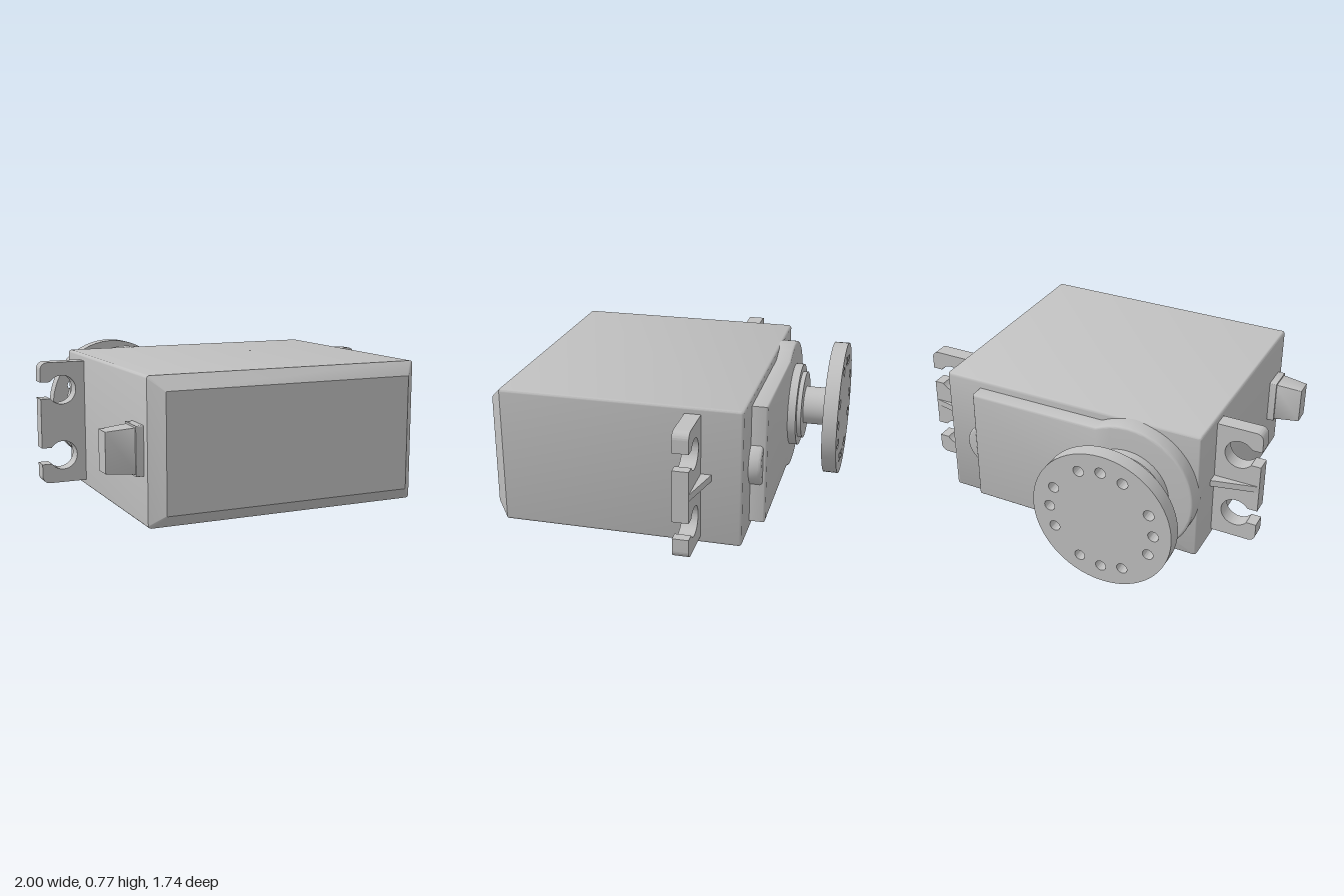
import * as THREE from 'three';
import { toCreasedNormals } from 'three/addons/utils/BufferGeometryUtils.js';

const grey = new THREE.MeshStandardMaterial({ color: 0xc0c0c0 });
grey.name = 'grey plastic';

const MID_Y = 0.3875; // height of the centre line
const SHAFT_X = -0.38; // output shaft axis

function part(name, geometry, parent) {
  const mesh = new THREE.Mesh(toCreasedNormals(geometry, 0.6), grey);
  mesh.name = name;
  parent.add(mesh);
  return mesh;
}

// Rounded-rectangle outline, counter-clockwise seen from +z
function outline(w, h, r, steps = 4) {
  const pts = [];
  [[1, 1], [-1, 1], [-1, -1], [1, -1]].forEach(([sx, sy], k) => {
    for (let i = 0; i <= steps; i++) {
      const a = (k + i / steps) * Math.PI / 2;
      pts.push([sx * (w / 2 - r) + r * Math.cos(a), sy * (h / 2 - r) + r * Math.sin(a)]);
    }
  });
  return pts;
}

// Skin over rounded rectangles [z, width, height, radius] with rising z, closed at both ends
function loft(sections) {
  const pos = [], index = [];
  const n = outline(1, 1, 0.1).length;
  for (const [z, w, h, r] of sections) {
    for (const [x, y] of outline(w, h, r)) pos.push(x, y, z);
  }
  const last = (sections.length - 1) * n;
  for (let s = 0; s < last; s += n) {
    for (let i = 0; i < n; i++) {
      const j = (i + 1) % n;
      index.push(s + i, s + j, s + n + j, s + i, s + n + j, s + n + i);
    }
  }
  for (let i = 1; i < n - 1; i++) {
    index.push(0, i + 1, i, last, last + i, last + i + 1);
  }
  const g = new THREE.BufferGeometry();
  g.setAttribute('position', new THREE.Float32BufferAttribute(pos, 3));
  g.setIndex(index);
  return g;
}

// Plate cut from a shape between two z values, with an optional small edge rounding
function plate(shape, z0, z1, bevel = 0) {
  const g = new THREE.ExtrudeGeometry(shape, {
    depth: z1 - z0 - 2 * bevel, curveSegments: 32,
    bevelEnabled: bevel > 0, bevelThickness: bevel, bevelSize: bevel,
    bevelOffset: -bevel, bevelSegments: 3,
  });
  return g.translate(0, 0, z0 + bevel);
}

// Disc on the shaft axis between two z values
function disc(radius, z0, z1) {
  return new THREE.CylinderGeometry(radius, radius, z1 - z0, 64)
    .rotateX(Math.PI / 2).translate(SHAFT_X, 0, (z0 + z1) / 2);
}

// Mounting ear on the +x side, with two open screw slots and a stiffening rib
function mountingEar() {
  const ear = new THREE.Group();
  const hx = 0.88, hr = 0.08, hy = 0.184, half = 0.046, top = 0.338, c = 0.04;
  const a = Math.asin(half / hr);
  const s = new THREE.Shape();
  s.moveTo(0.73, -top);
  s.lineTo(1 - c, -top);
  s.absarc(1 - c, -top + c, c, -Math.PI / 2, 0, false);
  for (const y of [-hy, hy]) {
    s.lineTo(1, y - half);
    s.absarc(hx, y, hr, -a, a - Math.PI * 2 + 0, true);
    s.lineTo(1, y + half);
  }
  s.lineTo(1, top - c);
  s.absarc(1 - c, top - c, c, 0, Math.PI / 2, false);
  s.lineTo(0.73, top);
  part('mountingEarPlate', plate(s, -0.275, -0.19), ear);

  const rib = new THREE.Shape();
  rib.moveTo(0.74, 0.26);
  rib.lineTo(0.99, 0.26);
  rib.lineTo(0.995, 0.276);
  rib.lineTo(0.74, 0.333);
  part('mountingEarRib', plate(rib, -0.018, 0.018).rotateX(-Math.PI / 2), ear);
  return ear;
}

export function createModel() {
  const model = new THREE.Group();
  model.name = 'servoMotor';
  const body = new THREE.Group();
  body.name = 'servo';
  body.position.y = MID_Y;
  model.add(body);

  // Case: softly rounded at the back, wide chamfer at the front
  part('case', loft([
    [-0.49, 1.476, 0.721, 0.008],
    [-0.486, 1.49, 0.735, 0.012],
    [-0.476, 1.5, 0.745, 0.015],
    [0.795, 1.5, 0.745, 0.015],
    [0.866, 1.36, 0.605, 0.004],
  ]), body);

  // Gear cover: narrow plate that swells into a round boss about the shaft
  const R = 0.372, h = 0.325, a = Math.asin(h / R);
  const cover = new THREE.Shape();
  cover.moveTo(0.54, -h);
  cover.lineTo(0.54, h);
  cover.lineTo(SHAFT_X + R * Math.cos(a), h);
  cover.absarc(SHAFT_X, 0, R, a, Math.PI * 2 - a, false);
  part('gearCover', plate(cover, -0.574, -0.46, 0.012), body);

  // Small round lug at the end of the cover
  const lug = new THREE.Shape();
  lug.absarc(0.48, 0, 0.125, 0, Math.PI * 2, false);
  part('coverLug', plate(lug, -0.555, -0.46, 0.015), body);

  // Output shaft and its stepped collar
  part('collarBase', disc(0.24, -0.62, -0.56), body);
  part('collarStep', disc(0.196, -0.645, -0.61), body);
  part('outputShaft', disc(0.11, -0.8, -0.63), body);

  // Horn disc with four groups of three holes
  const horn = new THREE.Shape();
  horn.absarc(SHAFT_X, 0, 0.384, 0, Math.PI * 2, false);
  for (let k = 0; k < 4; k++) {
    for (const d of [-1, 0, 1]) {
      const t = k * Math.PI / 2 + d * 0.43;
      const hole = new THREE.Path();
      hole.absarc(SHAFT_X + 0.288 * Math.cos(t), 0.288 * Math.sin(t), 0.029, 0, Math.PI * 2, true);
      horn.holes.push(hole);
    }
  }
  part('hornDisc', plate(horn, -0.872, -0.79), body);

  // Mounting ears, the right one turned half round
  for (const side of ['left', 'right']) {
    const ear = mountingEar();
    ear.name = side + 'MountingEar';
    if (side === 'right') ear.rotation.z = Math.PI;
    body.add(ear);
  }

  // Cable strain relief: a collar and a tapering plug on the right side
  const cable = new THREE.Group();
  cable.name = 'cableStrainRelief';
  cable.position.set(-0.74, 0.002, 0.67);
  cable.rotation.y = -Math.PI / 2;
  part('cableCollar', loft([[0, 0.155, 0.25, 0.005], [0.05, 0.155, 0.25, 0.005]]), cable);
  part('cablePlug', loft([[0.04, 0.135, 0.232, 0.003], [0.195, 0.1, 0.205, 0.003]]), cable);
  body.add(cable);

  return model;
}
